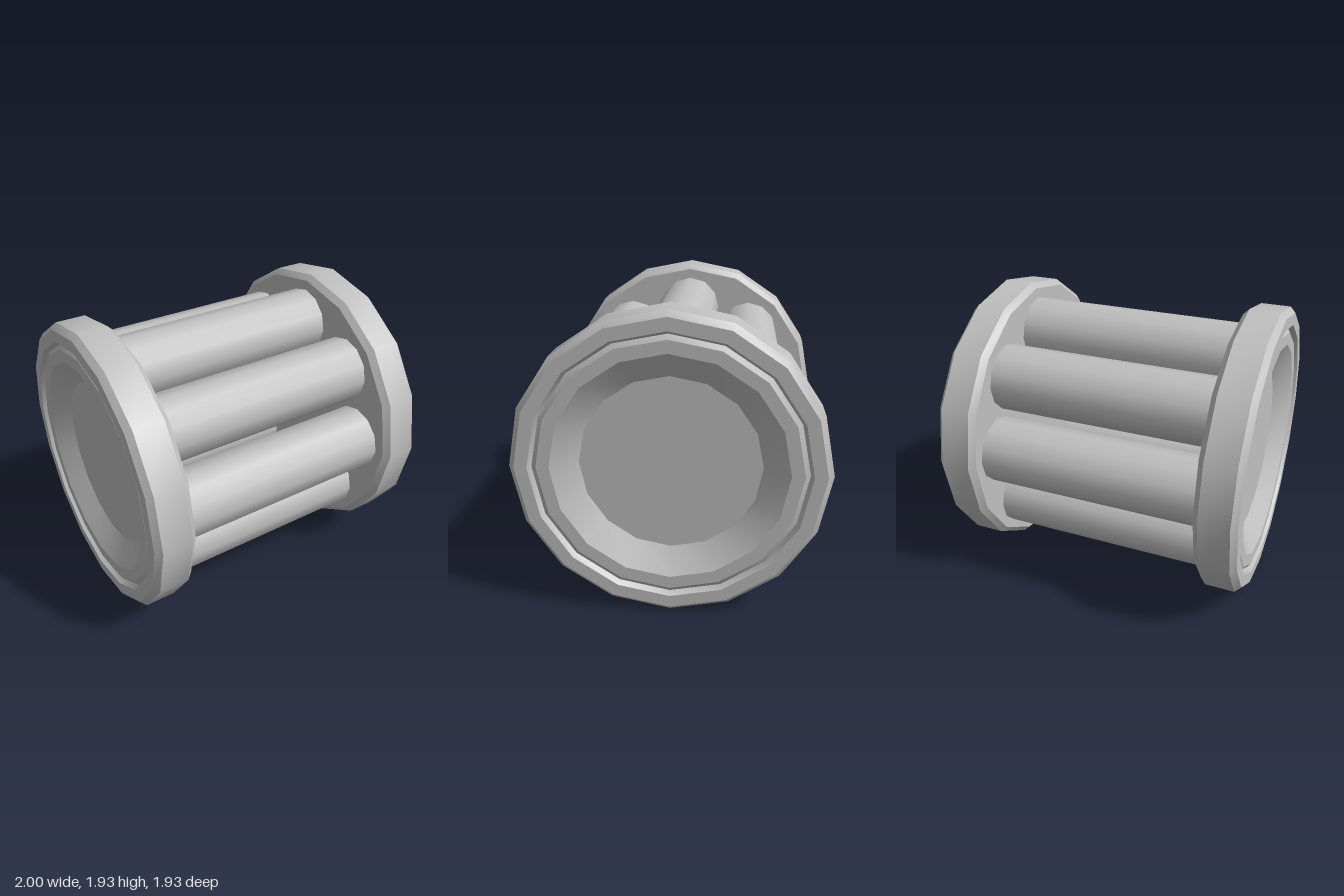
import * as THREE from 'three';
import { toCreasedNormals } from 'three/addons/utils/BufferGeometryUtils.js';

export function createModel() {
  const group = new THREE.Group();
  const grey = new THREE.MeshStandardMaterial({ color: 0xc0c0c0 });
  grey.name = 'light grey';
  const centreY = 0.967;

  // End flange profile as [radius, distance from the middle]:
  // flat inner face, bevelled rim, shallow groove, dished outer face
  const profile = [
    [0, 0.73], [0.93, 0.73], [0.967, 0.767], [0.967, 0.963], [0.93, 1],
    [0.85, 1], [0.83, 0.965], [0.8, 0.985], [0.72, 0.985], [0.56, 0.88], [0, 0.88],
  ].map(([r, d]) => new THREE.Vector2(r, d));
  const flangeGeometry = toCreasedNormals(
    new THREE.LatheGeometry(profile, 16).rotateZ(-Math.PI / 2), 0.48);

  for (const [name, turn] of [['leftFlange', 0], ['rightFlange', Math.PI]]) {
    const flange = new THREE.Mesh(flangeGeometry, grey);
    flange.name = name;
    flange.position.y = centreY;
    flange.rotation.y = turn;
    group.add(flange);
  }

  // Ring of eight rods joining the flanges
  const rodGeometry = new THREE.CylinderGeometry(0.22, 0.22, 1.48, 12).rotateZ(-Math.PI / 2);
  const ringRadius = 0.643;
  for (let i = 0; i < 8; i++) {
    const angle = (i * Math.PI) / 4;
    const rod = new THREE.Mesh(rodGeometry, grey);
    rod.name = `rod${i + 1}`;
    rod.position.set(0, centreY + ringRadius * Math.cos(angle), ringRadius * Math.sin(angle));
    group.add(rod);
  }
  return group;
}
